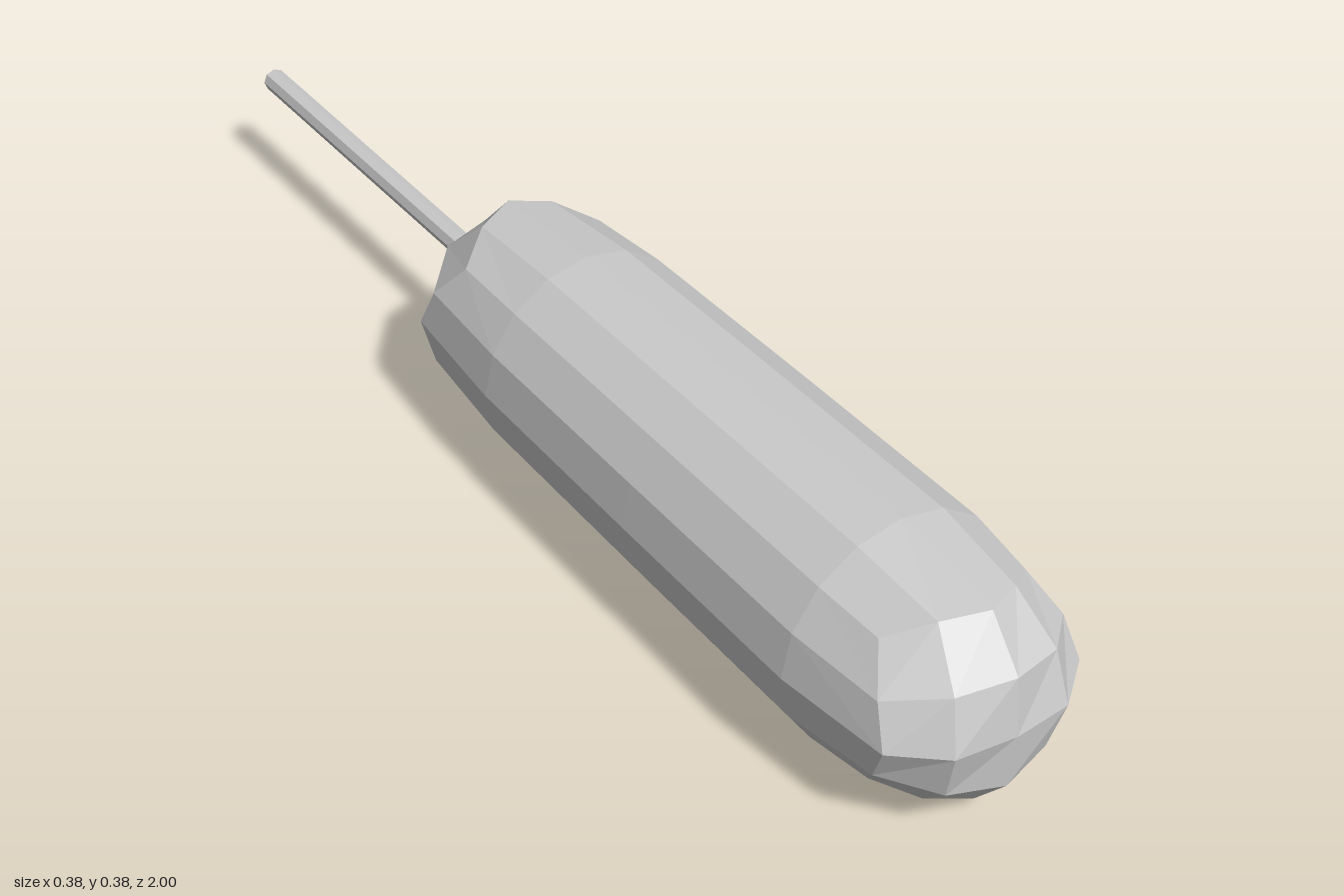
import * as THREE from 'three';

const CENTRE_Y = 0.19;
const SIDES = 16;

// Rounded cap: a 4 x 4 grid of quads whose border is the 16-point rim.
// sign is +1 for the front cap and -1 for the back cap.
function capPoint(i, j, cap) {
  const m = Math.max(Math.abs(i), Math.abs(j));
  if (m === 0) return [0, 0, cap.tip];
  // Walk round the square: each border step on the rim is 22.5 degrees
  const along = Math.abs(i) === m ? j / i : i / j;
  const turn = (along * Math.PI) / 4;
  const base = Math.abs(i) === m ? (i > 0 ? 0 : Math.PI) : (j > 0 ? Math.PI / 2 : -Math.PI / 2);
  const angle = base + (Math.abs(i) === m ? turn : -turn);
  const diagonal = Math.abs(along) * 2;
  const [r, z] = m === 2 ? cap.rim[Math.round(diagonal)] : cap.inner[Math.round(diagonal / 2)];
  return [r * Math.cos(angle), r * Math.sin(angle), z];
}

function bodyGeometry() {
  const positions = [];
  const quad = (a, b, c, d) => positions.push(...a, ...b, ...c, ...a, ...c, ...d);

  // Rim entries: [radius, z] on the axis, at 22.5 degrees and on the diagonal
  const front = {
    tip: 1, inner: [[0.095, 0.99], [0.121, 0.967]],
    rim: [[0.167, 0.93], [0.169, 0.90], [0.175, 0.855]],
  };
  const back = {
    tip: -0.308, inner: [[0.09, -0.3], [0.116, -0.28]],
    rim: [[0.164, -0.23], [0.166, -0.205], [0.172, -0.16]],
  };

  // Caps
  for (let i = -2; i < 2; i++) {
    for (let j = -2; j < 2; j++) {
      const corners = [[i, j], [i + 1, j], [i + 1, j + 1], [i, j + 1]];
      quad(...corners.map(([u, v]) => capPoint(u, v, front)));
      quad(...corners.reverse().map(([u, v]) => capPoint(u, v, back)));
    }
  }

  // Slightly tapered barrel between the two rims
  const ring = (pick) => Array.from({ length: SIDES }, (_, k) => {
    const step = k % 4;
    const [r, z] = pick(step === 3 ? 1 : step);
    const a = (k * Math.PI * 2) / SIDES;
    return [r * Math.cos(a), r * Math.sin(a), z];
  });
  const rings = [
    ring((s) => back.rim[s]),
    ...[[0.183, -0.01], [0.187, 0.36], [0.189, 0.74]].map((p) => ring(() => p)),
    ring((s) => front.rim[s]),
  ];
  for (let n = 0; n < rings.length - 1; n++) {
    for (let k = 0; k < SIDES; k++) {
      const next = (k + 1) % SIDES;
      quad(rings[n][k], rings[n][next], rings[n + 1][next], rings[n + 1][k]);
    }
  }

  const geometry = new THREE.BufferGeometry();
  geometry.setAttribute('position', new THREE.Float32BufferAttribute(positions, 3));
  geometry.computeVertexNormals();
  return geometry;
}

export function createModel() {
  const group = new THREE.Group();
  const material = new THREE.MeshStandardMaterial({ color: 0xcccccc, flatShading: true });

  // Faceted body
  const body = new THREE.Mesh(bodyGeometry(), material);
  body.name = 'body';
  body.position.y = CENTRE_Y;
  group.add(body);

  // Stick running out of the back
  const stick = new THREE.Mesh(new THREE.CylinderGeometry(0.02, 0.02, 0.72, 8), material);
  stick.name = 'stick';
  stick.rotation.x = Math.PI / 2;
  stick.position.set(0, CENTRE_Y, -0.64);
  group.add(stick);

  return group;
}
